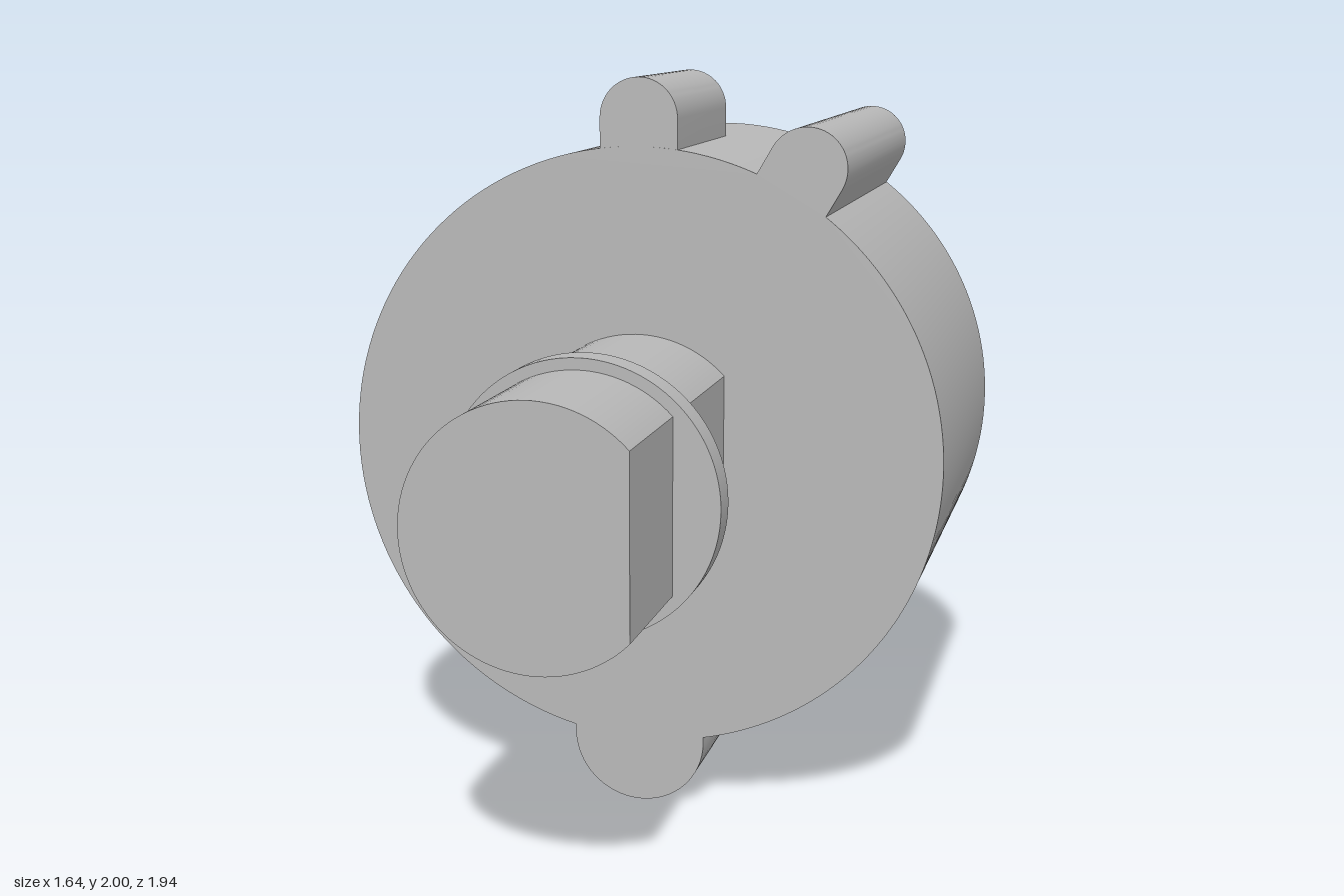
import * as THREE from 'three';
import { toCreasedNormals } from 'three/addons/utils/BufferGeometryUtils.js';

const AXIS_Y = 1.002;
const BODY_R = 0.82;
const FRONT_Z = 0.09;
const HALF = Math.PI / 2;

// Points along an arc; runs clockwise when to < from
function arc(cx, cy, r, from, to, n) {
  if (r < 1e-5) return [new THREE.Vector2(cx, cy)];
  return Array.from({ length: n + 1 }, (_, i) => {
    const t = from + (to - from) * i / n;
    return new THREE.Vector2(cx + r * Math.cos(t), cy + r * Math.sin(t));
  });
}

// Closed outline extruded from z0 to z1, with neighbouring duplicates removed
function prism(points, z0, z1) {
  const clean = points.filter((p, i) =>
    p.distanceTo(points[(i + 1) % points.length]) > 1e-4);
  const geometry = new THREE.ExtrudeGeometry(new THREE.Shape(clean), {
    depth: z1 - z0, bevelEnabled: false,
  });
  geometry.translate(0, 0, z0);
  return toCreasedNormals(geometry, Math.PI / 6);
}

// Round housing outline with rounded lobes, inset evenly by d
function housingOutline(lobes, d) {
  const points = [];
  lobes.forEach(({ angle: a, dist, r }, i) => {
    const s = Math.asin(r / BODY_R);
    const corner = (t) => [BODY_R * Math.cos(t), BODY_R * Math.sin(t)];
    const next = lobes[(i + 1) % lobes.length];
    let end = next.angle - Math.asin(next.r / BODY_R);
    if (end < a + s) end += Math.PI * 2;
    points.push(
      ...arc(...corner(a - s), d, a - s + Math.PI, a + HALF, 6),
      ...arc(dist * Math.cos(a), dist * Math.sin(a), r - d, a - HALF, a + HALF, 32),
      ...arc(...corner(a + s), d, a - HALF, a + s - Math.PI, 6),
      ...arc(0, 0, BODY_R - d, a + s, end, 80),
    );
  });
  return points;
}

export function createModel() {
  const model = new THREE.Group();
  const grey = new THREE.MeshStandardMaterial({ color: 0xb8b8b8 });
  grey.name = 'grey';

  const assembly = new THREE.Group();
  assembly.name = 'motorAssembly';
  assembly.position.y = AXIS_Y;
  model.add(assembly);

  function add(name, geometry) {
    const mesh = new THREE.Mesh(geometry, grey);
    mesh.name = name;
    assembly.add(mesh);
    return mesh;
  }

  // Housing with two full-length lobes and a stepped rear edge
  const lobes = [
    { angle: -HALF, dist: 0.817, r: 0.185 },
    { angle: Math.PI / 3, dist: 0.893, r: 0.105 },
  ];
  add('housing', prism(housingOutline(lobes, 0), -0.9, FRONT_Z));
  add('rearStep', prism(housingOutline(lobes, 0.016), -0.935, -0.9));
  add('rearCover', prism(housingOutline(lobes, 0.033), -0.97, -0.935));

  // Short key on top, seated on the curved wall
  const keyR = 0.105;
  const s = Math.asin(keyR / BODY_R);
  add('topKey', prism([
    ...arc(0, 0.893, keyR, 0, Math.PI, 32),
    ...arc(0, 0, BODY_R, HALF + s, HALF - s, 12),
  ], -0.44, FRONT_Z));

  // Shaft with one flat side
  const shaftR = 0.325;
  const flat = Math.acos(0.235 / shaftR);
  add('shaft', prism(arc(0, 0, shaftR, flat, Math.PI * 2 - flat, 80), FRONT_Z, 0.97));

  // Collar around the shaft
  const collar = add('collar', new THREE.CylinderGeometry(0.355, 0.355, 0.075, 96));
  collar.rotation.x = HALF;
  collar.position.z = 0.5675;

  return model;
}
